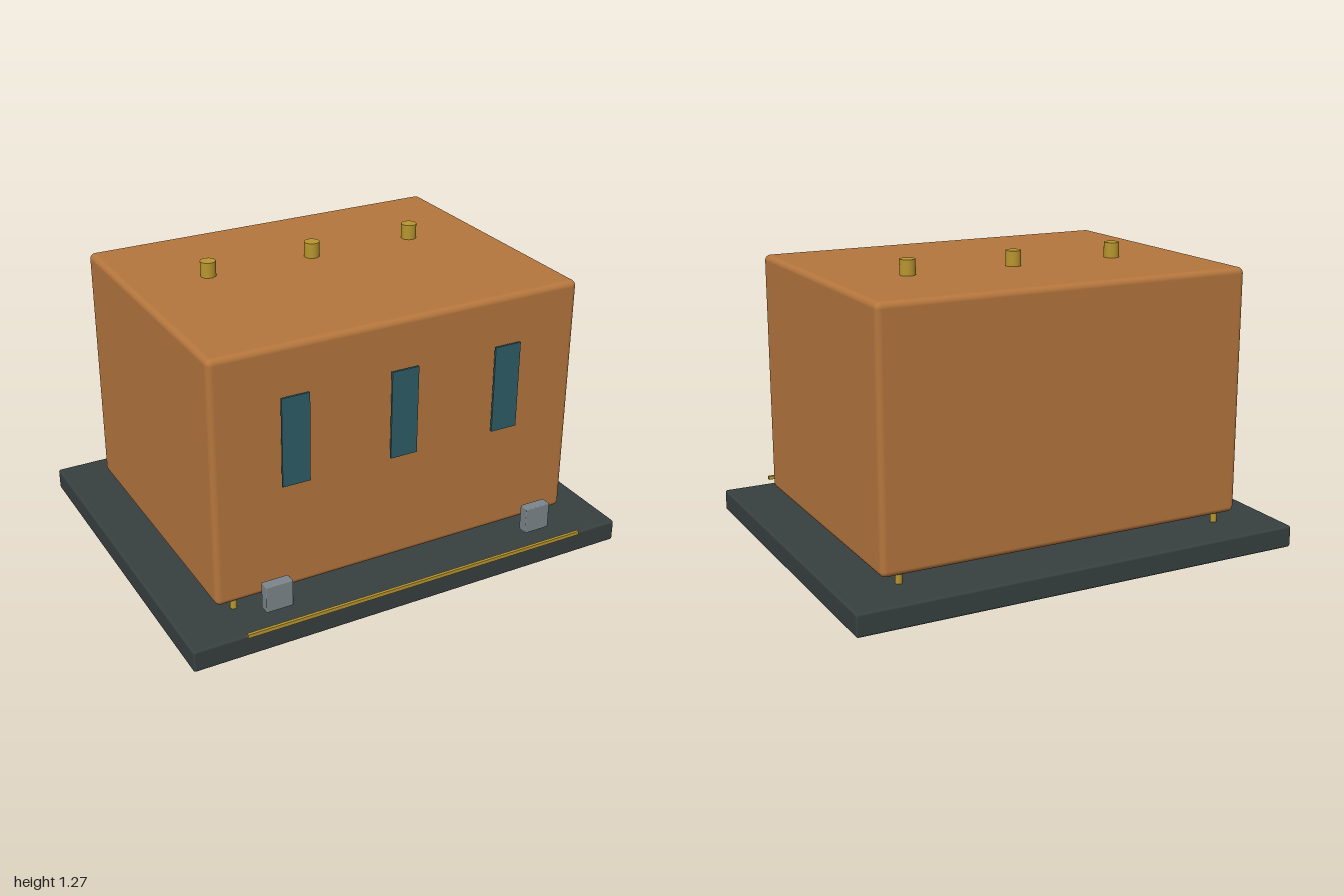
import * as THREE from 'three';
import { RoundedBoxGeometry } from 'three/addons/geometries/RoundedBoxGeometry.js';

export function createModel() {
  const model = new THREE.Group();
  model.name = 'cabinet';

  const material = (name, color) => {
    const m = new THREE.MeshStandardMaterial({ color });
    m.name = name;
    return m;
  };
  const copper = material('copper', 0xb5763d);
  const slate = material('slate', 0x384040);
  const brass = material('brass', 0xb8962e);
  const glass = material('tealGlass', 0x2e5d66);
  const steel = material('steel', 0x7c868a);

  const add = (name, geometry, mat, x, y, z) => {
    const mesh = new THREE.Mesh(geometry, mat);
    mesh.name = name;
    mesh.position.set(x, y, z);
    model.add(mesh);
  };

  // Base slab and main housing
  add('base', new RoundedBoxGeometry(2, 0.095, 1.59, 2, 0.01), slate, 0, 0.0525, -0.015);
  add('housing', new RoundedBoxGeometry(1.65, 1.065, 1.25, 4, 0.025), copper, 0, 0.6725, -0.015);

  // Three front windows, each with a brass stud on the roof
  const windowPlate = new THREE.BoxGeometry(0.12, 0.38, 0.009);
  const stud = new THREE.CylinderGeometry(0.033, 0.033, 0.08, 24);
  for (const x of [-0.48, 0, 0.48]) {
    add('window', windowPlate, glass, x, 0.81, 0.63);
    add('roofStud', stud, brass, x, 1.23, -0.153);
  }

  // Brass posts between base and housing, and shallow feet below
  const post = new THREE.CylinderGeometry(0.014, 0.014, 0.07, 16);
  const foot = new THREE.CylinderGeometry(0.045, 0.045, 0.02, 20);
  for (const side of [-1, 1]) {
    for (const z of [-0.605, 0.58]) add('post', post, brass, side * 0.74, 0.12, z);
    for (const z of [-0.6, 0.64]) add('foot', foot, slate, side * 0.82, 0.01, z);
    // Steel blocks in front of the housing
    add('frontBlock', new RoundedBoxGeometry(0.117, 0.117, 0.046, 2, 0.004), steel, side * 0.611, 0.2025, 0.715);
  }

  // Thin rail along the front edge
  add('frontRail', new THREE.BoxGeometry(1.565, 0.016, 0.013), brass, 0, 0.118, 0.803);

  return model;
}
